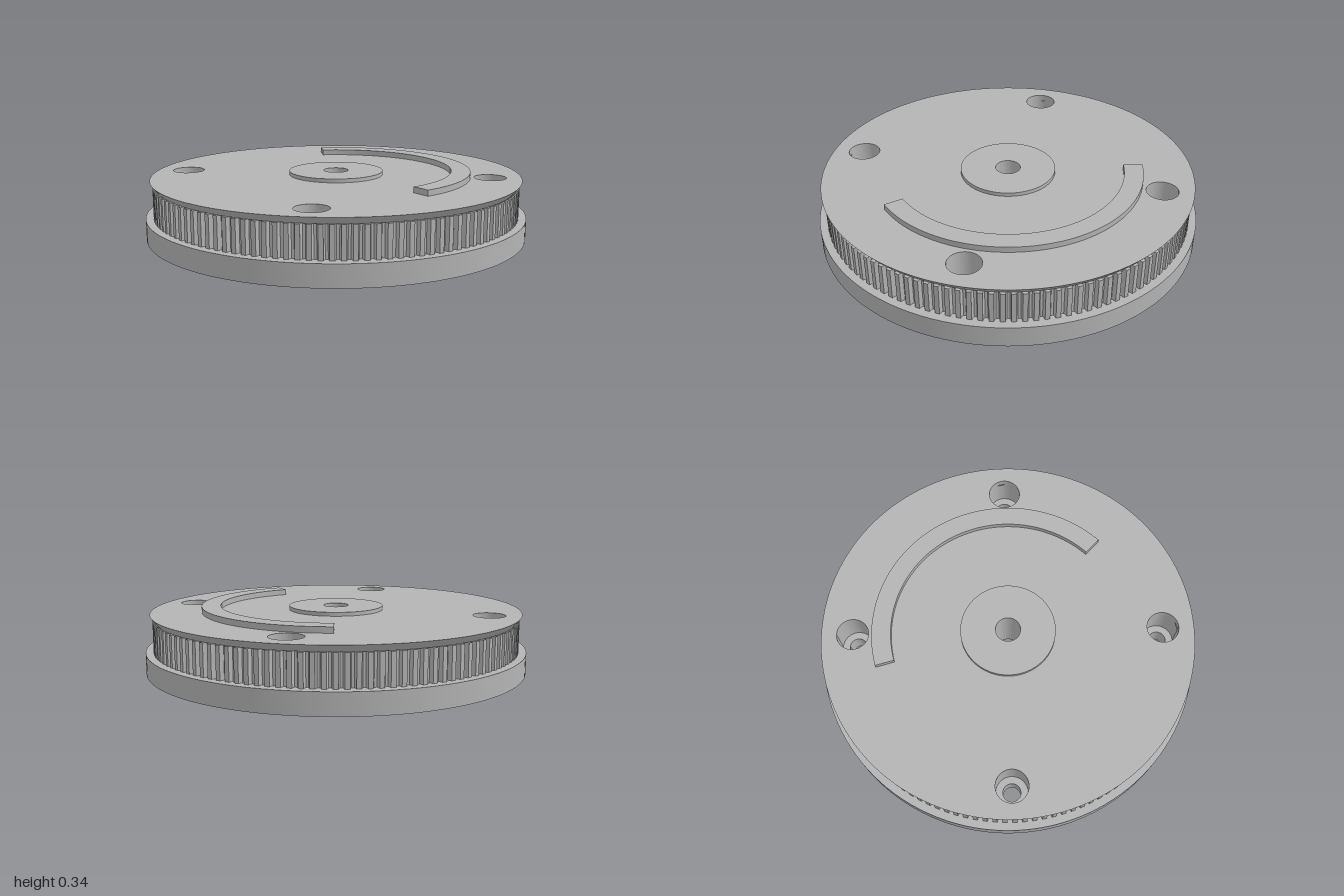
import * as THREE from 'three';
import { toCreasedNormals } from 'three/addons/utils/BufferGeometryUtils.js';

const BORE = 0.065, SCREW = 0.046, COUNTERBORE = 0.083, SCREW_POS = 0.573;
const TEETH = 120, TIP = 0.96, ROOT = 0.938;

function circle(r, x = 0, y = 0, Type = THREE.Shape) {
  return new Type().absarc(x, y, r, 0, Math.PI * 2, false);
}

// Cut the central bore and, if wanted, the four corner holes
function drill(shape, cornerRadius) {
  shape.holes.push(circle(BORE, 0, 0, THREE.Path));
  if (cornerRadius) {
    for (const sx of [-1, 1]) for (const sy of [-1, 1]) {
      shape.holes.push(circle(cornerRadius, sx * SCREW_POS, sy * SCREW_POS, THREE.Path));
    }
  }
  return shape;
}

// Extrude a plan shape upwards from y0 to y1
function slab(shape, y0, y1) {
  const g = new THREE.ExtrudeGeometry(shape, { depth: y1 - y0, bevelEnabled: false, curveSegments: 64 });
  return g.rotateX(-Math.PI / 2).translate(0, y0, 0);
}

// Toothed outline with slightly rounded grooves
function toothedShape() {
  const profile = [[0, TIP], [0.46, TIP], [0.52, ROOT + 0.006], [0.6, ROOT], [0.86, ROOT], [0.94, ROOT + 0.006]];
  const pts = [];
  for (let i = 0; i < TEETH; i++) {
    for (const [f, r] of profile) {
      const a = ((i + f) / TEETH) * Math.PI * 2;
      pts.push(new THREE.Vector2(r * Math.cos(a), r * Math.sin(a)));
    }
  }
  return new THREE.Shape(pts);
}

export function createModel() {
  const group = new THREE.Group();
  const grey = new THREE.MeshStandardMaterial({ color: 0xb4b4b4 });
  grey.name = 'grey';
  const add = (name, geometry) => {
    const mesh = new THREE.Mesh(toCreasedNormals(geometry, 0.45), grey);
    mesh.name = name;
    group.add(mesh);
  };

  // Base disc with narrow screw holes
  add('baseDisc', slab(drill(circle(1), SCREW), 0, 0.11));

  // Toothed belt ring with wide counterbores
  add('toothedRing', slab(drill(toothedShape(), COUNTERBORE), 0.11, 0.27));

  // Upper flange, its rim narrowing downwards
  const flange = slab(drill(circle(0.973), COUNTERBORE), 0.27, 0.305);
  const p = flange.attributes.position;
  for (let i = 0; i < p.count; i++) {
    const x = p.getX(i), z = p.getZ(i);
    if (Math.hypot(x, z) > 0.95 && p.getY(i) < 0.28) {
      p.setX(i, x * 0.945 / 0.973);
      p.setZ(i, z * 0.945 / 0.973);
    }
  }
  add('upperFlange', flange);

  // Raised central boss
  add('centreBoss', slab(drill(circle(0.248)), 0.305, 0.325));

  // Raised arc rail spanning 150 degrees
  const end = Math.PI * 150 / 180;
  const rail = new THREE.Shape();
  rail.absarc(0, 0, 0.708, 0, end, false);
  rail.absarc(0, 0, 0.608, end, 0, true);
  rail.closePath();
  add('arcRail', slab(rail, 0.305, 0.335));

  return group;
}
